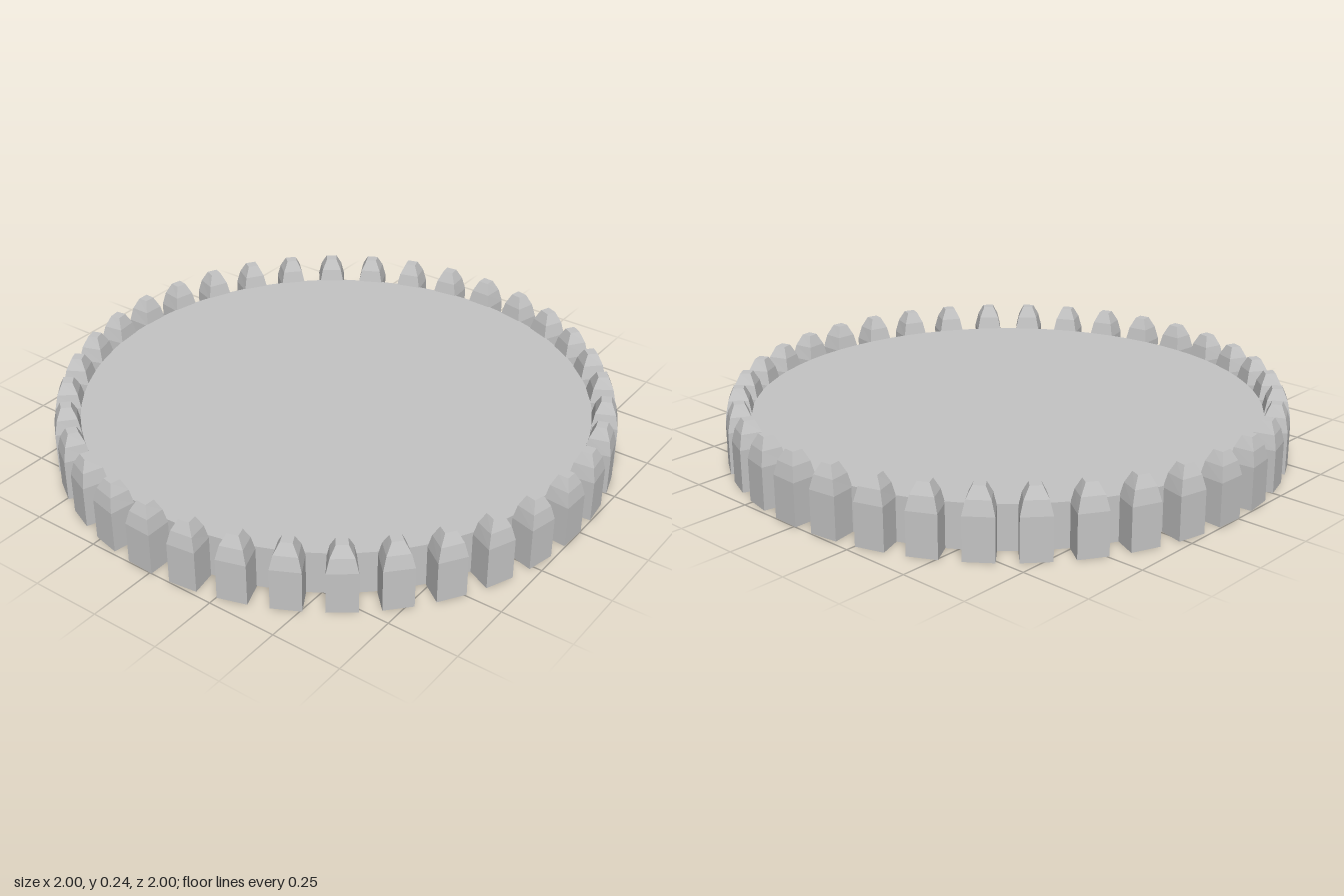
import * as THREE from 'three';

const TEETH = 36;

// Square bullet-shaped tooth, slightly wider on its outer (+z) side
function toothGeometry() {
  const profile = [[0, 0], [1, 0], [1, 0.15], [0.78, 0.2], [0.4, 0.24], [0, 0.24]];
  const points = profile.map(([r, y]) => new THREE.Vector2(r * Math.SQRT2, y));
  const geometry = new THREE.LatheGeometry(points, 4, Math.PI / 4);
  geometry.scale(0.049, 1, 0.046);
  const pos = geometry.attributes.position;
  for (let i = 0; i < pos.count; i++) pos.setX(i, pos.getX(i) * (1 + pos.getZ(i)));
  geometry.computeVertexNormals();
  return geometry;
}

export function createModel() {
  const model = new THREE.Group();
  model.name = 'toothedDisc';
  const gray = new THREE.MeshStandardMaterial({ color: 0xc4c4c4 });
  gray.name = 'gray';
  gray.flatShading = true;

  // Solid round plate
  const disc = new THREE.Mesh(new THREE.CylinderGeometry(0.91, 0.91, 0.156, 72), gray);
  disc.name = 'disc';
  disc.position.set(0.004, 0.078, -0.002);
  model.add(disc);

  // Ring of teeth around the rim
  const teeth = new THREE.Group();
  teeth.name = 'teeth';
  const geometry = toothGeometry();
  for (let i = 0; i < TEETH; i++) {
    const angle = THREE.MathUtils.degToRad(-2.5 + (i * 360) / TEETH);
    const tooth = new THREE.Mesh(geometry, gray);
    tooth.name = 'tooth';
    tooth.rotation.y = angle;
    tooth.position.set(Math.sin(angle) * 0.953, 0, Math.cos(angle) * 0.953);
    teeth.add(tooth);
  }
  model.add(teeth);
  return model;
}
